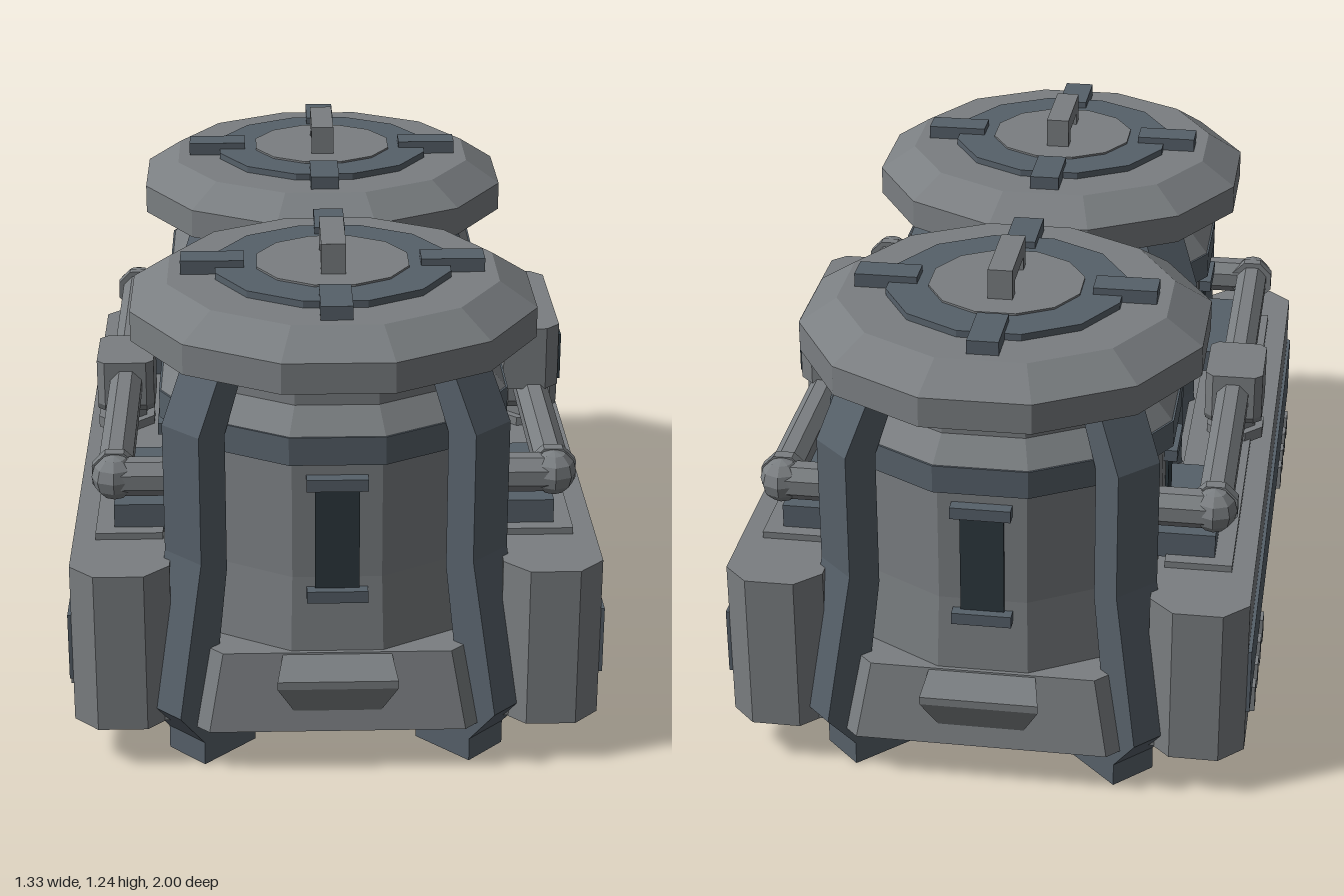
import * as THREE from 'three';
import { ConvexGeometry } from 'three/addons/geometries/ConvexGeometry.js';

const material = (name, color) => new THREE.MeshStandardMaterial({ name, color });
const light = material('light grey', 0x7a7e81);
const dark = material('slate grey', 0x566069);
const glass = material('dark glass', 0x2c373d);

// Faceted normals for every piece
function flat(geo) {
  const g = geo.index ? geo.toNonIndexed() : geo;
  g.computeVertexNormals();
  return g;
}

function add(parent, name, geo, mat) {
  const mesh = new THREE.Mesh(flat(geo), mat);
  mesh.name = name;
  parent.add(mesh);
  return mesh;
}

// Box given by its limits on each axis
function box(parent, name, mat, [x0, x1], [y0, y1], [z0, z1]) {
  const g = new THREE.BoxGeometry(x1 - x0, y1 - y0, z1 - z0);
  g.translate((x0 + x1) / 2, (y0 + y1) / 2, (z0 + z1) / 2);
  return add(parent, name, g, mat);
}

// Solid through rings of chamfered rectangles: [y, halfX, halfZ, chamfer]
function loft(parent, name, mat, rings, cx = 0) {
  const pts = [];
  for (const [y, hx, hz, c] of rings)
    for (const sx of [-1, 1]) for (const sz of [-1, 1])
      pts.push(new THREE.Vector3(cx + sx * hx, y, sz * (hz - c)),
        new THREE.Vector3(cx + sx * (hx - c), y, sz * hz));
  return add(parent, name, new ConvexGeometry(pts), mat);
}

// Twelve-sided turned part; the profile lists [distance to flat, y]
function turned(parent, name, mat, profile) {
  const k = 1 / Math.cos(Math.PI / 12);
  const pts = profile.map(([r, y]) => new THREE.Vector2(r * k, y));
  return add(parent, name, new THREE.LatheGeometry(pts, 12, Math.PI / 12), mat);
}

function rod(parent, name, mat, r, length, axis, x, y, z) {
  const g = new THREE.CylinderGeometry(r, r, length, 8);
  g.rotateY(Math.PI / 8);
  if (axis === 'x') g.rotateZ(Math.PI / 2);
  if (axis === 'z') g.rotateX(Math.PI / 2);
  g.translate(x, y, z);
  return add(parent, name, g, mat);
}

function makeLeg() {
  const w = 0.125;
  const shape = new THREE.Shape([
    [0.345, 0], [0.52, 0], [0.52, 0.06], [0.598, 0.155], [0.52, 0.54], [0.52, 0.865], [0.45, 1.0],
    [0.37, 1.0], [0.435, 0.85], [0.435, 0.5], [0.48, 0.2], [0.43, 0.12], [0.345, 0.12],
  ].map(([r, y]) => new THREE.Vector2(r, y)));
  const g = new THREE.ExtrudeGeometry(shape, { depth: w, bevelEnabled: false });
  return g.translate(0, 0, -w / 2);
}

function makeTank() {
  const tank = new THREE.Group();
  tank.name = 'tank';
  turned(tank, 'tankFloor', light, [[0, 0.085], [0.38, 0.085], [0.4, 0.13], [0, 0.13]]);
  loft(tank, 'skirt', light, [[0.115, 0.46, 0.46, 0.15], [0.31, 0.425, 0.425, 0.15]]);
  turned(tank, 'tankBody', light, [[0.415, 0.3], [0.4, 0.5], [0.4, 0.8]]);
  turned(tank, 'tankBand', dark, [[0.39, 0.8], [0.425, 0.8], [0.425, 0.87], [0.39, 0.87]]);
  turned(tank, 'tankNeck', light, [[0.42, 0.87], [0.37, 0.93], [0.37, 1.0]]);
  turned(tank, 'lid', light,
    [[0, 0.97], [0.38, 0.97], [0.49, 1.005], [0.49, 1.08], [0.4, 1.14], [0, 1.14]]);
  turned(tank, 'lidRing', dark, [[0.285, 1.135], [0.285, 1.157], [0.18, 1.157]]);
  turned(tank, 'lidCentre', light, [[0.185, 1.14], [0.185, 1.162], [0, 1.162]]);

  // Lid handle
  box(tank, 'handleBar', light, [-0.03, 0.03], [1.195, 1.237], [-0.108, 0.108]);
  for (const s of [-1, 1])
    box(tank, 'handlePost', light, [-0.03, 0.03], [1.155, 1.2], [s * 0.088 - 0.02, s * 0.088 + 0.02]);

  const leg = makeLeg();
  for (let i = 0; i < 4; i++) {
    add(tank, 'leg', leg.clone(), dark).rotation.y = Math.PI / 4 + i * Math.PI / 2;

    // Lid clamp and sight window on each side
    const side = new THREE.Group();
    side.name = 'sideFittings';
    side.rotation.y = i * Math.PI / 2;
    box(side, 'lidClamp', dark, [-0.038, 0.038], [1.14, 1.174], [0.215, 0.37]);
    box(side, 'window', glass, [-0.053, 0.053], [0.47, 0.735], [0.402, 0.41]);
    for (const y of [0.445, 0.735])
      box(side, 'windowCap', dark, [-0.073, 0.073], [y, y + 0.03], [0.39, 0.432]);
    tank.add(side);
  }

  // Sloping vent hood on the outer face
  const hood = [];
  for (const s of [-1, 1])
    for (const [x, y, z] of [[0.13, 0.31, 0.42], [0.145, 0.262, 0.485], [0.145, 0.242, 0.485],
      [0.105, 0.165, 0.45], [0.105, 0.165, 0.4]])
      hood.push(new THREE.Vector3(s * x, y, z));
  add(tank, 'ventHood', new ConvexGeometry(hood), light);
  return tank;
}

// Side housing with pipework, built on +x
function makeSide() {
  const side = new THREE.Group();
  side.name = 'sideHousing';
  loft(side, 'housing', light, [[0.11, 0.12, 0.94, 0.06], [0.52, 0.12, 0.94, 0.06]], 0.52);
  box(side, 'housingBand', dark, [0.64, 0.649], [0.22, 0.39], [-0.88, 0.88]);
  box(side, 'topRail', light, [0.42, 0.585], [0.52, 0.537], [-0.73, 0.73]);
  for (const s of [-1, 1]) {
    for (const z of [0.42, 0.525, 0.63, 0.735])
      box(side, 'rib', light, [0.63, 0.656], [0.14, 0.21], [s * z - 0.022, s * z + 0.022]);
    box(side, 'pipeBlock', dark, [0.36, 0.54], [0.53, 0.597], [s * 0.515 - 0.18, s * 0.515 + 0.18]);
    // Elbow and run into the tank
    const ball = new THREE.SphereGeometry(0.056, 8, 6);
    add(side, 'elbow', ball.translate(0.535, 0.675, s * 0.7), light);
    rod(side, 'inletPipe', light, 0.048, 0.18, 'x', 0.45, 0.675, s * 0.7);
    rod(side, 'pipeCollar', light, 0.06, 0.03, 'z', 0.535, 0.675, s * 0.675);
  }
  rod(side, 'mainPipe', light, 0.045, 1.4, 'z', 0.535, 0.675, 0);
  loft(side, 'pipeJunction', light,
    [[0.6, 0.075, 0.09, 0.02], [0.62, 0.075, 0.105, 0.02], [0.74, 0.075, 0.105, 0.02]], 0.537);
  rod(side, 'junctionStem', light, 0.058, 0.1, 'y', 0.54, 0.57, 0);
  rod(side, 'stemBase', light, 0.08, 0.03, 'y', 0.54, 0.545, 0);
  return side;
}

export function createModel() {
  const model = new THREE.Group();
  model.name = 'twinTankUnit';
  const body = new THREE.Group();
  body.name = 'body';
  body.position.x = -0.01;
  model.add(body);

  // Twin tanks and matching side housings, turned about the middle
  for (const s of [0, 1]) {
    const tank = makeTank();
    tank.position.z = s ? -0.51 : 0.51;
    tank.rotation.y = s * Math.PI;
    const side = makeSide();
    side.rotation.y = s * Math.PI;
    body.add(tank, side);
  }

  // Core between the tanks
  box(body, 'basePlate', light, [-0.42, 0.42], [0.112, 0.16], [-0.9, 0.9]);
  box(body, 'core', light, [-0.36, 0.36], [0.12, 0.5], [-0.2, 0.2]);
  box(body, 'coreTop', light, [-0.26, 0.26], [0.5, 0.82], [-0.16, 0.16]);
  box(body, 'corePost', dark, [0.19, 0.36], [0.5, 1.0], [-0.06, 0.06]);
  box(body, 'controlArm', dark, [0.3, 0.45], [0.73, 0.84], [-0.05, 0.05]);

  // Control box on the left
  loft(body, 'controlBox', light, [[0.705, 0.09, 0.23, 0.035], [0.872, 0.09, 0.23, 0.035]], 0.51);
  box(body, 'controlScreen', glass, [0.6, 0.608], [0.715, 0.838], [-0.175, 0.182]);
  for (const y of [0.735, 0.767, 0.8])
    box(body, 'controlButton', light, [0.605, 0.613], [y - 0.011, y + 0.011], [-0.142, -0.09]);

  // Status panel on the left housing
  box(body, 'panelFrame', glass, [0.64, 0.658], [0.265, 0.44], [-0.27, 0.27]);
  box(body, 'panelFace', light, [0.655, 0.662], [0.298, 0.4], [-0.222, 0.225]);
  for (const z of [-0.125, 0, 0.125])
    box(body, 'panelStud', light, [0.66, 0.675], [0.33, 0.36], [z - 0.022, z + 0.022]);
  return model;
}
